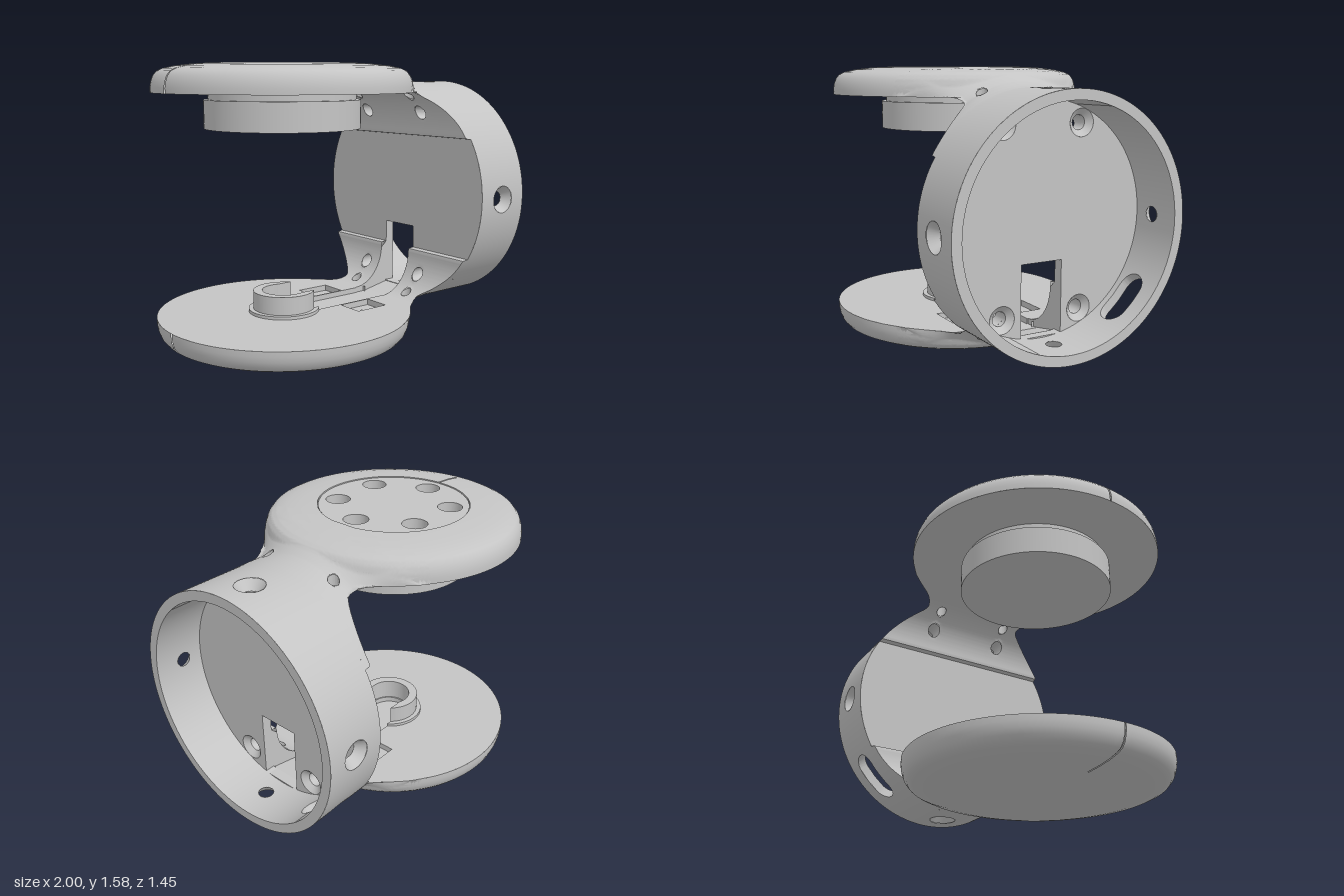
import * as THREE from 'three';
import { toCreasedNormals } from 'three/addons/utils/BufferGeometryUtils.js';

const CY = 0.7925, CX = -0.275;          // height of the symmetry plane, x of the disc axis
const R = 0.685, RI = 0.63;              // drum outer and inner radius
const INNER = 0.63, DISC = 0.727;        // arm inner face (from the symmetry plane), disc radius
const CH = 0.118, FLOOR = 0.662;         // cable channel half width and floor
const { lerp, smoothstep } = THREE.MathUtils;

const grey = new THREE.MeshStandardMaterial({ color: 0xc4c4c4, side: THREE.DoubleSide });
grey.name = 'grey';

function add(parent, name, geo) {
  const m = new THREE.Mesh(geo, grey);
  m.name = name;
  parent.add(m);
  return m;
}

// piecewise linear lookup in [x, value] pairs
function lookup(list, x) {
  for (let i = 1; i < list.length; i++) {
    const [x0, a] = list[i - 1], [x1, b] = list[i];
    if (x <= x1) return a + (b - a) * Math.max(0, (x - x0) / (x1 - x0));
  }
  return list[list.length - 1][1];
}

// Grid surface with round or slotted holes: vertices near a rim snap to it, cells inside are left out.
// hole = { i, j: coordinate indices, a, b: centre, r: radius, h: half slot length along i }
function grid(nu, nv, fn, holes = [], bend = p => p) {
  const pts = [], idx = [];
  const offset = (p, o) => {
    const d = p[o.i] - o.a, h = o.h || 0;
    return [d - Math.max(-h, Math.min(h, d)), p[o.j] - o.b];
  };
  for (let u = 0; u <= nu; u++) for (let v = 0; v <= nv; v++) {
    const p = fn(u, v);
    for (const o of holes) {
      const [dx, dy] = offset(p, o), d = Math.hypot(dx, dy);
      if (d > 0 && Math.abs(d - o.r) < Math.min(0.3 * o.r, 0.01)) {
        p[o.i] += dx * (o.r / d - 1);
        p[o.j] += dy * (o.r / d - 1);
      }
    }
    pts.push(p);
  }
  for (let u = 0; u < nu; u++) for (let v = 0; v < nv; v++) {
    const a = u * (nv + 1) + v, b = a + 1, c = a + nv + 1, d = c + 1;
    const mid = [0, 1, 2].map(k => (pts[a][k] + pts[b][k] + pts[c][k] + pts[d][k]) / 4);
    if (holes.some(o => Math.hypot(...offset(mid, o)) < o.r)) continue;
    idx.push(a, b, c, b, d, c);
  }
  const g = new THREE.BufferGeometry();
  g.setAttribute('position', new THREE.Float32BufferAttribute(pts.map(bend).flat(), 3));
  g.setIndex(idx);
  return toCreasedNormals(g, 1);
}

const circle = (x, y, r, Type = THREE.Path) => new Type().absarc(x, y, r, 0, Math.PI * 2);
const polygon = (pts, Type = THREE.Path) => new Type(pts.map(p => new THREE.Vector2(...p)));
const extrude = (shape, depth) =>
  new THREE.ExtrudeGeometry(shape, { depth, bevelEnabled: false, curveSegments: 48 });
const cylinder = (r0, r1, h) => new THREE.CylinderGeometry(r0, r1, h, 32, 1, true);

// quarter-ellipse fillet under the neck, as height over x and as x over height
const filletY = x => 0.375 + 0.255 * Math.sqrt(1 - (Math.max(0, x - 0.38) / 0.22) ** 2);
const filletX = y => 0.38 + 0.22 * Math.sqrt(1 - ((y - 0.375) / 0.255) ** 2);

// neck columns: flat run, fillet, then the flange against the drum
const cols = [];
for (let k = 0; k < 36; k++) cols.push([0.149 + 0.231 * k / 36, INNER]);
const FILLET = cols.length;
for (let k = 0; k <= 50; k++) {
  const a = k / 50 * Math.PI / 2;
  cols.push([0.38 + 0.22 * Math.sin(a), 0.375 + 0.255 * Math.cos(a)]);
}
cols.push([0.604, 0.36], [0.64, 0.355]);
const LAST = cols.length - 1;

const fairing = [[0.14, 0.598], [0.2, 0.557], [0.25, 0.512], [0.3, 0.462], [0.35, 0.41], [0.4, 0.368],
  [0.44, 0.343], [0.48, 0.326], [0.52, 0.31], [0.6, 0.25]];
const crown = [[0.14, 0.789], [0.2, 0.786], [0.3, 0.777], [0.35, 0.767], [0.4, 0.75], [0.44, 0.73],
  [0.48, 0.711], [0.52, 0.699], [0.56, 0.69], [0.6, R]];
// half width of the neck: smooth maximum of the disc fairing and the drum chord
function halfWidth([x, y]) {
  const a = lookup(fairing, x), b = Math.sqrt(R * R - y * y);
  return (a + b + Math.sqrt((a - b) ** 2 + 0.0005)) / 2;
}

// disc edge profile, from the inner face round to the crown
const rim = [[DISC, INNER], [DISC, 0.66], [0.722, 0.69], [0.71, 0.722], [0.69, 0.746], [0.66, 0.76],
  [0.6, 0.774], [0.52, 0.784], [0.43, 0.79]];
const discHeight = [...rim].reverse();

// height of the neck skin: the disc crown blended into the drum curve
function skinY([x, yb], z) {
  const s = Math.min(1, Math.abs(z) / halfWidth([x, yb])), t = lookup(crown, x);
  const disc = lookup(discHeight, Math.hypot(x - CX, z));
  const flat = yb + (t - yb) * Math.pow(1 - s ** 5, 0.4);
  const round = Math.sqrt(Math.max(0, R * R - z * z)) + (t - R) * (1 - s * s);
  const blend = lerp(lerp(disc, flat, smoothstep(x, 0.149, 0.32)), round, smoothstep(x, 0.25, 0.5));
  return s > 0.9999 ? yb : Math.max(yb, blend, x < 0.43 ? disc + 0.0008 : 0);
}

function makeArm(isTop) {
  const arm = new THREE.Group();
  arm.name = isTop ? 'upperArm' : 'lowerArm';

  // disc shell in two halves with a fine radial seam at -x, left open towards the neck
  const profile = rim.map(p => new THREE.Vector2(...p));
  if (isTop) profile.push(new THREE.Vector2(0.43, 0.765));
  const sweep = Math.PI - 0.156;
  for (const start of [Math.PI / 2 + 0.15, Math.PI * 1.5 + 0.006])
    add(arm, 'discShell', toCreasedNormals(new THREE.LatheGeometry(profile, 64, start, sweep), 0.6)).position.x = CX;
  add(arm, 'seamFloor', grid(rim.length - 1, 1, (u, v) =>
    [CX - rim[u][0] + 0.006, rim[u][1] - 0.006 * Math.min(1, u), (v - 0.5) * 0.012]));
  if (!isTop) add(arm, 'discCrown', new THREE.CircleGeometry(0.431, 64).rotateX(-Math.PI / 2)).position.set(CX, 0.79, 0);

  const neckHoles = [-1, 1].map(s => ({ i: 0, j: 2, a: 0.48, b: s * 0.235, r: 0.03 }));
  add(arm, 'neckSkin', grid(LAST, 100, (u, v) => {
    const z = Math.sin((v / 50 - 1) * Math.PI / 2) * halfWidth(cols[u]);
    return [cols[u][0], skinY(cols[u], z), z];
  }, neckHoles));

  // fillet on each side of the cable channel, with bolt holes and neck holes lined through
  const z0 = isTop ? 0 : 0.125;
  for (const s of [-1, 1]) {
    const bolt = { i: 1, j: 2, a: 0.5, b: s * 0.24, r: 0.04 };
    add(arm, 'neckFillet', grid(LAST - FILLET, 50, (u, v) => {
      const c = cols[FILLET + u];
      return [c[0], c[1], s * (z0 + (halfWidth(c) - z0) * v / 50)];
    }, [...neckHoles, bolt]));
    add(arm, 'boltTunnel', grid(32, 1, (u, v) => {
      const a = u / 16 * Math.PI, y = 0.5 + 0.04 * Math.cos(a);
      return [v ? 0.64 : filletX(y), y, s * 0.24 + 0.04 * Math.sin(a)];
    }));
    add(arm, 'neckHoleWall', grid(32, 1, (u, v) => {
      const a = u / 16 * Math.PI, x = 0.48 + 0.03 * Math.cos(a), z = s * 0.235 + 0.03 * Math.sin(a);
      return [x, v ? skinY([x, filletY(x)], z) : filletY(x), z];
    }));
  }

  // flat inner face, notched for the channel and pockets on the lower arm
  const outline = [];
  const a0 = Math.acos((0.14 - CX) / DISC);
  for (let k = 0; k <= 80; k++) {
    const a = a0 + (Math.PI * 2 - 2 * a0) * k / 80;
    outline.push([CX + DISC * Math.cos(a), DISC * Math.sin(a)]);
  }
  const side = [0.2, 0.25, 0.3, 0.35, 0.38].map(x => [x, lookup(fairing, x)]);
  outline.push(...side.map(([x, z]) => [x, -z]));
  if (!isTop) {
    outline.push([0.38, -CH]);
    for (let k = 0; k <= 24; k++) {
      const a = k / 24 * Math.PI;
      outline.push([CX - CH * Math.sin(a), -CH * Math.cos(a)]);
    }
    outline.push([0.38, CH]);
  }
  outline.push(...side.reverse());
  const face = polygon(outline, THREE.Shape);
  if (!isTop) for (const s of [-1, 1]) {
    const x0 = 0.05, x1 = 0.26, za = s * 0.128, zb = s * 0.29;
    const corners = [[x0, za], [x1, za], [x1, zb], [x0, zb]];
    face.holes.push(polygon(corners));
    add(arm, 'pocketWall', grid(4, 1, (u, v) => [corners[u % 4][0], INNER + 0.035 * v, corners[u % 4][1]]));
    const floor = polygon(corners, THREE.Shape);
    floor.holes.push(circle((x0 + x1) / 2, (za + zb) / 2, 0.014));
    add(arm, 'pocketFloor', new THREE.ShapeGeometry(floor).rotateX(Math.PI / 2)).position.y = INNER + 0.035;
  }
  add(arm, 'innerFace', new THREE.ShapeGeometry(face, 64).rotateX(Math.PI / 2)).position.y = INNER;
  return arm;
}

export function createModel() {
  const model = new THREE.Group();
  model.name = 'yokeBracket';
  const body = new THREE.Group();
  body.name = 'body';
  body.position.y = CY;
  model.add(body);

  const upper = makeArm(true), lower = makeArm(false);
  lower.scale.y = -1;
  body.add(upper, lower);

  // cap insert with six counterbored holes
  [[0.07, 0.785, 0.1], [0.035, 0.685, 0.053]].forEach(([r, y, depth]) => {
    const s = circle(0, 0, 0.426, THREE.Shape);
    for (let k = 0; k < 6; k++) {
      const a = k * Math.PI / 3;
      s.holes.push(circle(0.32 * Math.cos(a), 0.32 * Math.sin(a), r));
    }
    add(upper, 'capInsert', extrude(s, depth).rotateX(Math.PI / 2)).position.set(CX, y, 0);
  });

  // round mount under the upper arm
  [[0.415, 0.585, INNER], [0.44, 0.43, 0.59]].forEach(([r, y0, y1]) => {
    add(upper, 'mountDisc', new THREE.CylinderGeometry(r, r, y1 - y0, 96)).position.set(CX, (y0 + y1) / 2, 0);
  });

  // C-shaped bearing cup on the lower arm, opened by the channel towards the neck
  [[0.204, 0.018], [0.177, 0.122]].forEach(([r, h]) => {
    const ri = 0.125, a = Math.asin(CH / r), b = Math.asin(CH / ri);
    const c = new THREE.Shape().absarc(0, 0, r, a, Math.PI * 2 - a);
    c.absarc(0, 0, ri, Math.PI * 2 - b, b, true);
    add(lower, 'bearingCup', extrude(c, h).rotateX(Math.PI / 2)).position.set(CX, INNER, 0);
  });

  // cable channel: rounded end under the cup, then U-shaped sections [x, half width, floor, top]
  add(lower, 'channelEndWall', new THREE.CylinderGeometry(CH, CH, FLOOR - INNER, 24, 1, true, Math.PI, Math.PI))
    .position.set(CX, (FLOOR + INNER) / 2, 0);
  add(lower, 'channelEndFloor', new THREE.CircleGeometry(CH, 24, Math.PI / 2, Math.PI).rotateX(Math.PI / 2))
    .position.set(CX, FLOOR, 0);
  const sections = [[CX, CH, FLOOR, INNER], [0.38, CH, FLOOR, INNER]];
  for (let k = FILLET; k <= LAST; k += 4) {
    const [x, y] = cols[k];
    sections.push([x, 0.125, lookup([[0.45, FLOOR], [0.64, 0.625]], x), y]);
  }
  sections.push([0.64, 0.125, 0.625, 0.355]);
  add(lower, 'cableChannel', grid(sections.length - 1, 3, (u, v) => {
    const [x, w, floor, top] = sections[u];
    return [x, v === 0 || v === 3 ? top : floor, v < 2 ? -w : w];
  }));

  // drum wall: four countersunk radial holes and one slot
  const drum = new THREE.Group();
  drum.name = 'drum';
  body.add(drum);
  const HX = 0.82, SLOT = Math.PI * 1.25, SH = 0.08, SR = 0.08;
  for (const [r, hole] of [[R, 0.08], [RI, 0.042]]) {
    const holes = [1, 2, 3, 4].map(k => ({ i: 0, j: 1, a: k * Math.PI / 2 * r, b: HX, r: hole }));
    holes.push({ i: 0, j: 1, a: SLOT * r, b: HX, r: SR, h: SH * r / R });
    add(drum, r === R ? 'drumOuterWall' : 'drumInnerWall', grid(288, 24,
      (u, v) => [(Math.PI / 4 + u / 288 * Math.PI * 2) * r, 0.64 + 0.36 * v / 24, 0], holes,
      ([a, x]) => [x, r * Math.cos(a / r), r * Math.sin(a / r)]));
  }
  for (let k = 0; k < 4; k++) {
    const pivot = new THREE.Group();
    pivot.name = 'radialHole';
    pivot.rotation.x = k * Math.PI / 2;
    add(pivot, 'countersink', cylinder(0.08, 0.042, R - RI)).position.set(HX, (R + RI) / 2 - 0.002, 0);
    drum.add(pivot);
  }
  add(drum, 'slotWall', grid(64, 1, (u, v) => {
    const t = u / 64 * Math.PI * 2, r = v ? R : RI, c = Math.cos(t);
    const a = SLOT + (Math.sign(Math.round(c * 1e6)) * SH * r / R + SR * c) / r;
    return [HX + SR * Math.sin(t), r * Math.cos(a), r * Math.sin(a)];
  }));
  for (const x of [0.64, 1])
    add(drum, 'drumEdge', new THREE.RingGeometry(RI, R, 96).rotateY(Math.PI / 2)).position.x = x;

  // web plate with countersunk bolt holes and cable window
  [[0.64, 0.04], [0.67, 0.075]].forEach(([x, r]) => {
    const s = circle(0, 0, 0.645, THREE.Shape);
    for (const a of [-0.24, 0.24]) for (const b of [-0.5, 0.5]) s.holes.push(circle(a, b, r));
    s.holes.push(polygon([[-0.125, -0.622], [0.125, -0.622], [0.125, -0.22], [-0.125, -0.22]]));
    add(drum, 'webPlate', extrude(s, 0.03).rotateY(Math.PI / 2)).position.x = x;
  });
  for (const z of [-0.24, 0.24]) for (const y of [-0.5, 0.5])
    add(drum, 'boltCountersink', cylinder(0.075, 0.04, 0.03).rotateZ(-Math.PI / 2)).position.set(0.685, y, z);
  return model;
}
